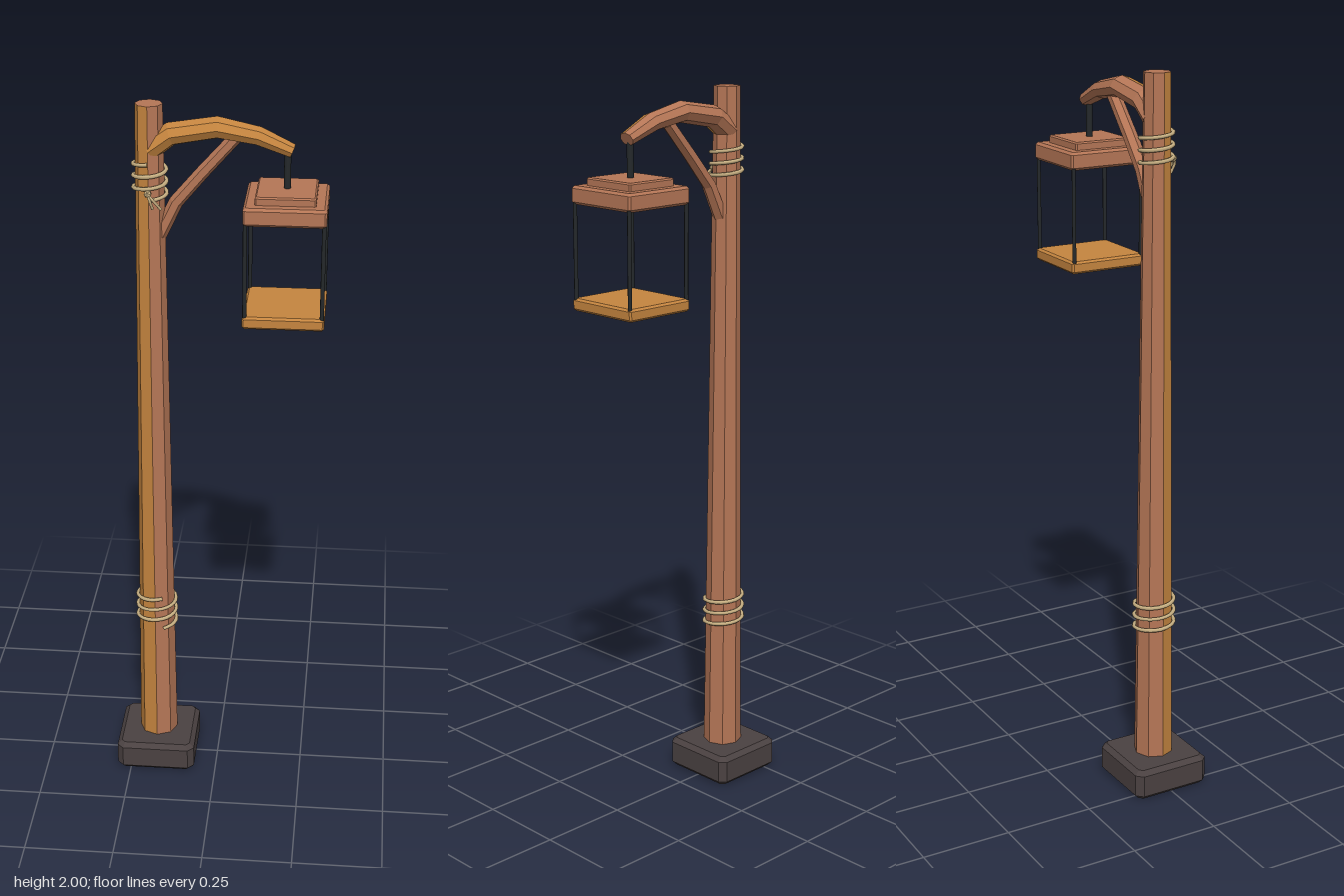
import * as THREE from 'three';

const mat = (name, color) => {
  const m = new THREE.MeshStandardMaterial({ color });
  m.name = name;
  return m;
};

export function createModel() {
  const model = new THREE.Group();
  model.name = 'lanternPost';
  const redWood = mat('redWood', 0xb57656);
  const orangeWood = mat('orangeWood', 0xc5853f);
  const stone = mat('darkStone', 0x4a4141);
  const rope = mat('rope', 0xc9b183);
  const iron = mat('blackIron', 0x25292b);

  const add = (name, geo, material, x = 0, y = 0, z = 0, parent = model) => {
    const mesh = new THREE.Mesh(geo, material);
    mesh.name = name;
    mesh.position.set(x, y, z);
    parent.add(mesh);
    return mesh;
  };

  // Flat facets; those passing the test use the second material
  const facet = (geo, test) => {
    const g = geo.index ? geo.toNonIndexed() : geo;
    g.computeVertexNormals();
    g.clearGroups();
    const n = g.attributes.normal;
    for (let i = 0; i < n.count; i += 3) {
      g.addGroup(i, 3, test && test(n.getX(i), n.getY(i), n.getZ(i)) ? 1 : 0);
    }
    return g;
  };

  // Slab standing on y = 0 with bevelled rims and cut corners
  const slab = (w, h, d, bevel, cut) => {
    const a = w / 2 - bevel, b = d / 2 - bevel;
    const s = new THREE.Shape([
      [a - cut, -b], [a, -b + cut], [a, b - cut], [a - cut, b],
      [-a + cut, b], [-a, b - cut], [-a, -b + cut], [-a + cut, -b],
    ].map(([x, y]) => new THREE.Vector2(x, y)));
    const g = new THREE.ExtrudeGeometry(s, {
      depth: h - 2 * bevel, bevelThickness: bevel, bevelSize: bevel, bevelSegments: 1,
    });
    return g.translate(0, 0, bevel).rotateX(-Math.PI / 2);
  };

  // Tapered beam along stations [x, y, radius] in the xy plane
  const beam = (stations, sides, squash) => {
    const pos = [], idx = [], last = stations.length - 1;
    stations.forEach(([x, y, r], i) => {
      const p = stations[Math.max(i - 1, 0)], q = stations[Math.min(i + 1, last)];
      const t = new THREE.Vector2(q[0] - p[0], q[1] - p[1]).normalize();
      for (let j = 0; j < sides; j++) {
        const a = (j / sides) * Math.PI * 2, u = Math.cos(a) * r * squash;
        pos.push(x - t.y * u, y + t.x * u, Math.sin(a) * r);
      }
    });
    for (let i = 0; i < last; i++) {
      for (let j = 0; j < sides; j++) {
        const k = (j + 1) % sides, a = i * sides, b = a + sides;
        idx.push(a + j, a + k, b + k, a + j, b + k, b + j);
      }
    }
    for (let j = 1; j < sides - 1; j++) {
      const e = last * sides;
      idx.push(0, j + 1, j, e, e + j, e + j + 1);
    }
    const g = new THREE.BufferGeometry();
    g.setAttribute('position', new THREE.Float32BufferAttribute(pos, 3));
    g.setIndex(idx);
    return g;
  };

  const postX = -0.176;

  // Stone foot and eight-sided tapered post
  add('base', slab(0.227, 0.088, 0.227, 0.013, 0.01), stone, postX);
  add('post', facet(new THREE.CylinderGeometry(0.036, 0.055, 1.92, 8),
    (x, y, z) => x < 0 && z > 0.1 && Math.abs(y) < 0.5), [redWood, orangeWood], postX, 1.04);

  // Curved arm with a lighter front half
  add('arm', facet(beam([
    [-0.175, 1.882, 0.04], [-0.12, 1.922, 0.039], [0.0, 1.942, 0.037],
    [0.105, 1.922, 0.032], [0.192, 1.885, 0.024],
  ], 8, 0.78), (x, y, z) => z > 0.1), [redWood, orangeWood]);

  // Diagonal brace
  add('brace', facet(beam([
    [-0.152, 1.65, 0.022], [-0.108, 1.74, 0.021], [-0.04, 1.82, 0.02], [0.045, 1.915, 0.019],
  ], 6, 0.9)), [redWood]);

  // Rope wound round the post
  const winding = (name, y0, y1, r0, r1, turns, phase) => {
    const pts = [], n = turns * 12;
    for (let i = 0; i <= n; i++) {
      const t = i / n, a = phase + t * turns * Math.PI * 2;
      const r = r0 + (r1 - r0) * t;
      pts.push(new THREE.Vector3(Math.sin(a) * r, y0 + (y1 - y0) * t, Math.cos(a) * r));
    }
    const g = new THREE.TubeGeometry(new THREE.CatmullRomCurve3(pts), n * 2, 0.0055, 6);
    add(name, g, rope, postX);
  };
  winding('lowerRope', 0.46, 0.56, 0.056, 0.055, 3, 0.4);
  winding('upperRope', 1.755, 1.85, 0.044, 0.043, 3, 0);

  // Knot with two loose ends
  add('knot', new THREE.IcosahedronGeometry(0.011, 0), rope, postX, 1.775, 0.05);
  for (const s of [0.012, 0.034]) {
    const path = new THREE.CatmullRomCurve3([
      new THREE.Vector3(0, 1.775, 0.05),
      new THREE.Vector3(s * 0.4, 1.762, 0.058),
      new THREE.Vector3(s, 1.735, 0.05),
    ]);
    add('ropeEnd', new THREE.TubeGeometry(path, 6, 0.004, 5), rope, postX);
  }

  // Hanging lantern
  const lantern = new THREE.Group();
  lantern.name = 'lantern';
  lantern.position.x = 0.18;
  model.add(lantern);
  add('lanternFloor', slab(0.215, 0.034, 0.225, 0.006, 0.001), orangeWood, 0, 1.434, 0, lantern);
  add('lanternRoof', slab(0.215, 0.049, 0.225, 0.007, 0.001), redWood, 0, 1.716, 0, lantern);
  add('lanternRoofStep', slab(0.157, 0.026, 0.167, 0.004, 0.001), redWood, 0, 1.76, 0, lantern);
  add('hanger', new THREE.CylinderGeometry(0.009, 0.009, 0.11, 8), iron, 0, 1.832, 0, lantern);
  for (const sx of [-1, 1]) {
    for (const sz of [-1, 1]) {
      add('cornerRod', new THREE.CylinderGeometry(0.0055, 0.0055, 0.264, 8), iron,
        sx * 0.101, 1.591, sz * 0.104, lantern);
    }
  }
  return model;
}
